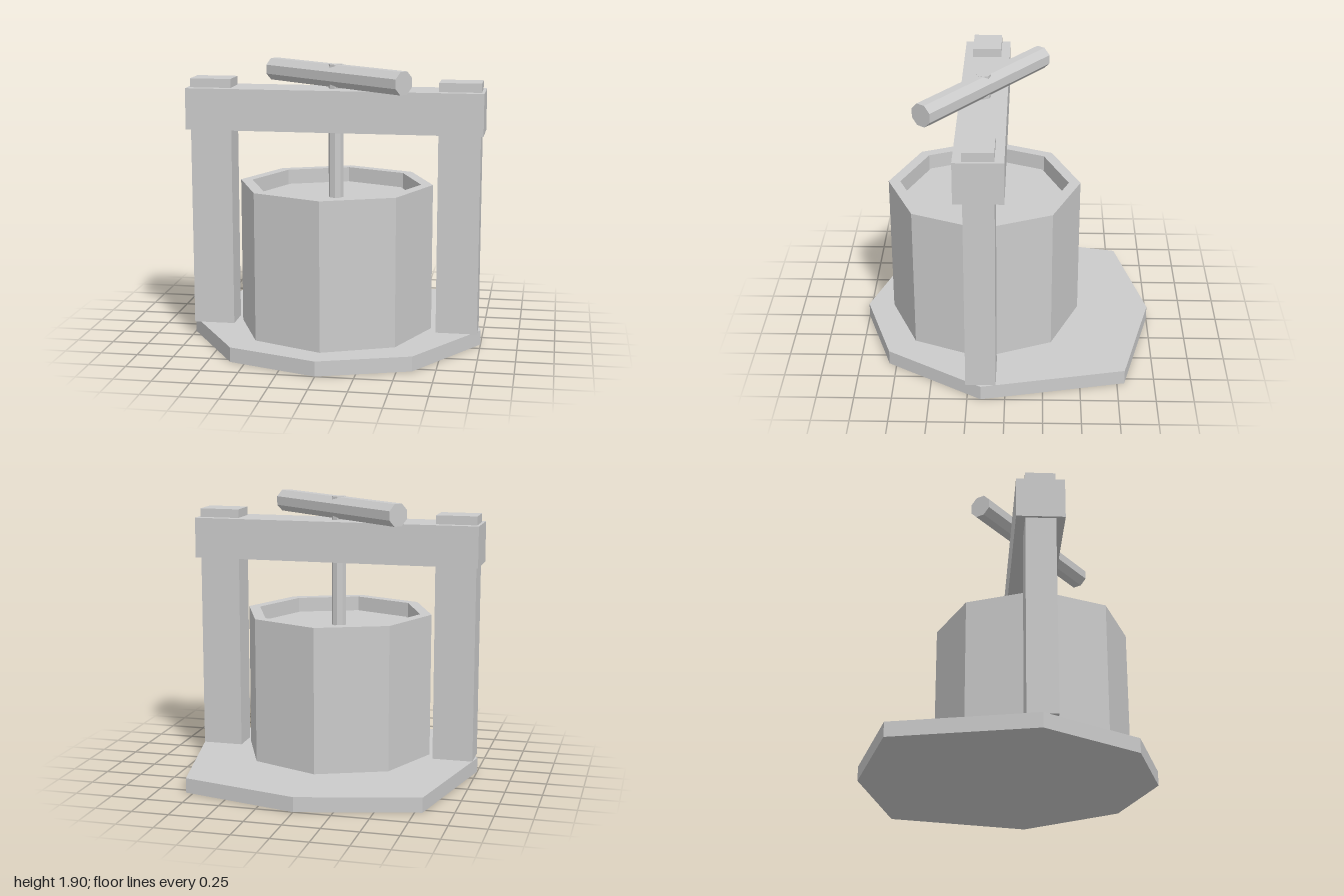
import * as THREE from 'three';

export function createModel() {
  const model = new THREE.Group();
  const grey = new THREE.MeshStandardMaterial({ color: 0xcccccc, flatShading: true });
  const axisZ = 0.16; // the frame, tub and screw share this depth

  const add = (name, geometry, x, y, z) => {
    const mesh = new THREE.Mesh(geometry, grey);
    mesh.name = name;
    mesh.position.set(x, y, z);
    model.add(mesh);
    return mesh;
  };

  // Irregular base slab, mirrored outline
  const half = [[0.8, -0.8], [1, 0.16], [0.6, 0.8]];
  const outline = [
    [0, -1], ...half, [0, 1],
    ...half.map(([x, z]) => [-x, z]).reverse(),
  ].map(([x, z]) => new THREE.Vector2(x, z));
  const slab = new THREE.ExtrudeGeometry(new THREE.Shape(outline), { depth: 0.1, bevelEnabled: false });
  slab.rotateX(Math.PI / 2);
  add('base', slab, 0, 0.1, 0);

  // Hollow eight-sided tub
  const profile = [[0.66, 0.1], [0.66, 1.1], [0.58, 1.1], [0.58, 0.12], [0, 0.12]]
    .map(([r, y]) => new THREE.Vector2(r, y));
  add('tub', new THREE.LatheGeometry(profile, 8), 0, 0, axisZ);

  // Pressing plate inside the tub
  add('pressPlate', new THREE.CylinderGeometry(0.565, 0.565, 0.1, 8), 0, 0.95, axisZ);

  // Posts passing through the crossbeam
  for (const side of [-1, 1]) {
    add(side > 0 ? 'leftPost' : 'rightPost', new THREE.BoxGeometry(0.28, 1.7, 0.2), side * 0.84, 0.95, axisZ);
  }
  add('crossbeam', new THREE.BoxGeometry(2, 0.28, 0.32), 0, 1.6, axisZ);

  // Screw from the plate up through the handle
  add('screw', new THREE.CylinderGeometry(0.05, 0.05, 0.902, 8), 0, 1.451, axisZ);

  // Eight-sided turning handle with a flat side up, set at an angle
  const bar = new THREE.CylinderGeometry(0.081, 0.081, 1.256, 8);
  bar.rotateY(Math.PI / 8);
  bar.rotateZ(Math.PI / 2);
  const handle = add('handle', bar, 0, 1.825, axisZ);
  handle.rotation.y = -Math.atan2(0.38, 0.5);

  return model;
}
